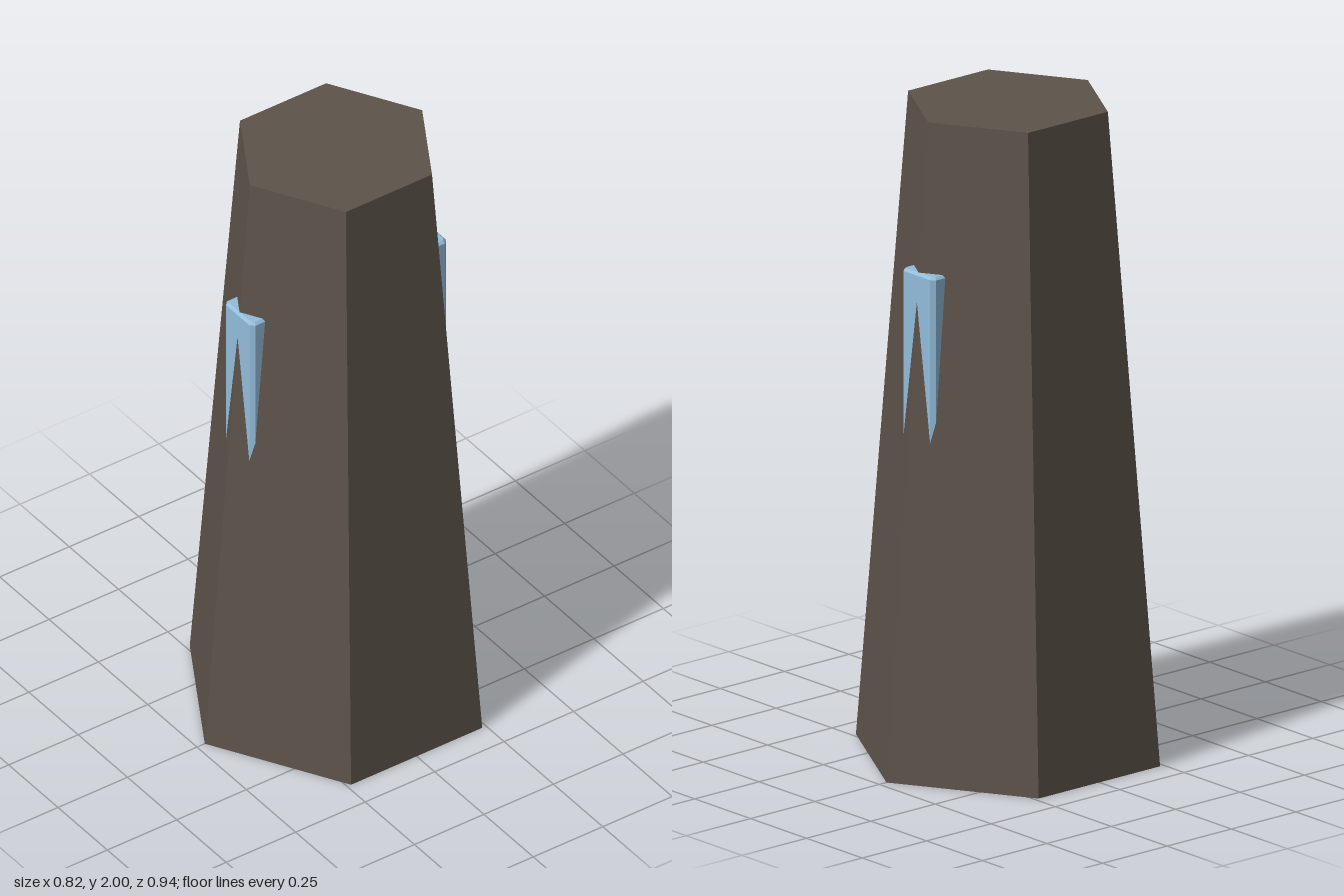
import * as THREE from 'three';

const stone = new THREE.MeshStandardMaterial({ color: 0x5d534a });
stone.name = 'darkStone';
const glass = new THREE.MeshStandardMaterial({ color: 0x93bddb });
glass.name = 'paleBlueGlass';

// Box with chamfered edges, standing upright with its base at y = 0
function chamferedBox(width, height, depth, c) {
  const x = width / 2 - c, z = depth / 2 - c;
  const shape = new THREE.Shape([
    [x, -z + c], [x, z - c], [x - c, z], [-x + c, z],
    [-x, z - c], [-x, -z + c], [-x + c, -z], [x - c, -z],
  ].map(([px, pz]) => new THREE.Vector2(px, pz)));
  // the bevel adds c to every side
  const geometry = new THREE.ExtrudeGeometry(shape, {
    depth: height - 2 * c, bevelEnabled: true,
    bevelThickness: c, bevelSize: c, bevelSegments: 1,
  });
  geometry.translate(0, 0, c);
  geometry.rotateX(-Math.PI / 2);
  return geometry;
}

export function createModel() {
  const group = new THREE.Group();
  group.name = 'hexagonalTower';

  // Tapered six-sided body with a corner facing front and back
  const bodyGeometry = new THREE.CylinderGeometry(0.31, 0.472, 2, 6).toNonIndexed();
  bodyGeometry.computeVertexNormals();
  const body = new THREE.Mesh(bodyGeometry, stone);
  body.name = 'towerBody';
  body.position.y = 1;
  group.add(body);

  // Window bar running through the tower, showing at the front and back corners
  const bar = new THREE.Mesh(chamferedBox(0.144, 0.62, 0.708, 0.008), glass);
  bar.name = 'windowBar';
  bar.position.y = 0.925;
  group.add(bar);

  return group;
}
